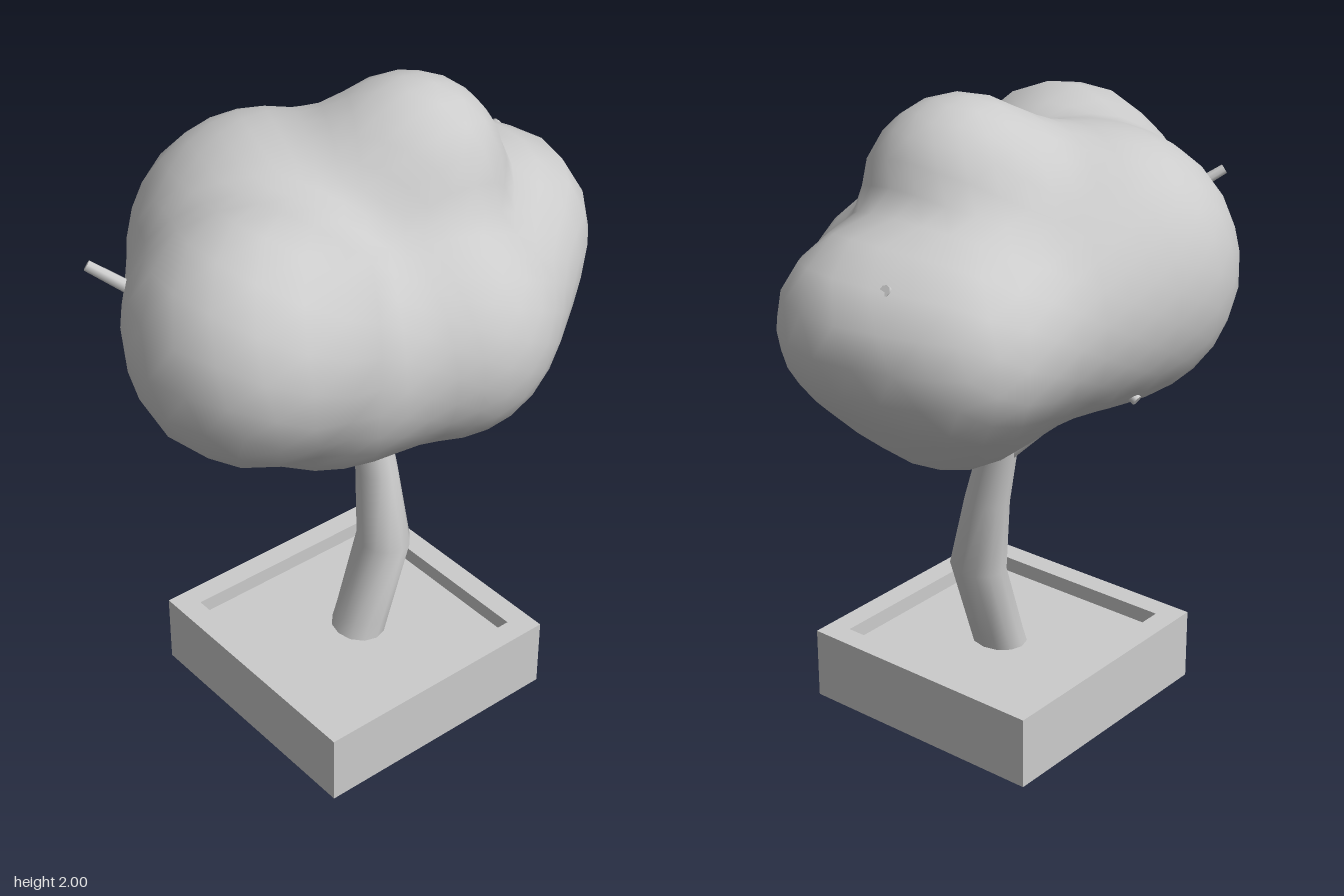
import * as THREE from 'three';
import { mergeVertices } from 'three/addons/utils/BufferGeometryUtils.js';

const material = new THREE.MeshStandardMaterial({ color: 0xcccccc });

function addMesh(parent, name, geometry) {
  const mesh = new THREE.Mesh(geometry, material);
  mesh.name = name;
  parent.add(mesh);
  return mesh;
}

// Weld seams so the surface shades smoothly
function smooth(geometry) {
  geometry.deleteAttribute('normal');
  geometry.deleteAttribute('uv');
  return mergeVertices(geometry, 1e-4);
}

// Square tray: raised rim around a sunken soil bed
function createPlanter() {
  const planter = new THREE.Group();
  planter.name = 'planter';
  planter.position.set(-0.03, 0, 0.088);
  const half = 0.4175, inner = 0.345, height = 0.23, soil = 0.18;
  const square = (path, s) => path.moveTo(-s, -s).lineTo(s, -s).lineTo(s, s).lineTo(-s, s).closePath();
  const shape = square(new THREE.Shape(), half);
  shape.holes.push(square(new THREE.Path(), inner));
  const rim = new THREE.ExtrudeGeometry(shape, { depth: height, bevelEnabled: false });
  rim.rotateX(-Math.PI / 2);
  addMesh(planter, 'planterRim', rim);
  const bed = new THREE.BoxGeometry(inner * 2, soil, inner * 2);
  addMesh(planter, 'soilBed', bed).position.y = soil / 2;
  return planter;
}

// Trunk: level rings of an open cylinder moved onto a bent, tapering line
function createTrunk() {
  const rings = [ // x, y, z, radius
    [-0.02, 0.16, 0.092, 0.08],
    [0.005, 0.23, 0.092, 0.079],
    [0.088, 0.48, 0.092, 0.08],
    [0.093, 0.72, 0.05, 0.063],
    [0.096, 0.97, -0.012, 0.05],
    [0.1, 1.3, -0.08, 0.035],
  ];
  const geometry = smooth(new THREE.CylinderGeometry(1, 1, rings.length - 1, 12, rings.length - 1, true));
  const pos = geometry.attributes.position;
  for (let i = 0; i < pos.count; i++) {
    const row = Math.round(pos.getY(i) + (rings.length - 1) / 2);
    const [x, y, z, r] = rings[row];
    pos.setXYZ(i, x + pos.getX(i) * r, y, z + pos.getZ(i) * r * 1.16);
  }
  geometry.computeVertexNormals();
  return geometry;
}

// Straight tapering limb between two points
function addLimb(parent, name, from, to, r0, r1) {
  const a = new THREE.Vector3(...from), b = new THREE.Vector3(...to);
  const dir = b.clone().sub(a);
  const limb = addMesh(parent, name, new THREE.CylinderGeometry(r1, r0, dir.length(), 8));
  limb.position.copy(a).add(b).multiplyScalar(0.5);
  limb.quaternion.setFromUnitVectors(new THREE.Vector3(0, 1, 0), dir.normalize());
}

// Crown: a sphere shrunk onto a soft blend of round lobes
function createCrown() {
  const lobes = [ // x, y, z, radius
    [-0.08, 1.48, 0.02, 0.34],    // core
    [-0.49, 1.515, 0.225, 0.345], // right side
    [-0.38, 1.47, 0.0, 0.305],    // right back
    [-0.12, 1.47, -0.2, 0.405],   // back
    [0.17, 1.42, -0.22, 0.3],     // back, towards the left
    [0.2, 1.715, 0.045, 0.282],   // top
    [0.13, 1.34, 0.28, 0.33],     // front
    [-0.12, 1.34, 0.2, 0.27],     // front, towards the right
    [0.36, 1.31, 0.18, 0.27],     // front, towards the left
    [0.63, 1.45, -0.01, 0.2],     // left tip
    [0.53, 1.42, 0.1, 0.25],      // left side
    [0.5, 1.41, -0.2, 0.28],      // left back
    [0.34, 1.235, -0.04, 0.275],  // underside left
    [-0.23, 1.315, 0.17, 0.305],  // underside right
  ];
  const blend = 0.14;
  const p = new THREE.Vector3();
  const distance = () => {
    let d = Infinity;
    for (const [x, y, z, r] of lobes) {
      const e = Math.hypot(p.x - x, p.y - y, p.z - z) - r;
      const h = Math.max(blend - Math.abs(d - e), 0) / blend;
      d = Math.min(d, e) - h * h * blend * 0.25;
    }
    return d;
  };
  const geometry = smooth(new THREE.IcosahedronGeometry(1, 7));
  const pos = geometry.attributes.position;
  const centre = new THREE.Vector3(0.02, 1.42, 0.02);
  const dir = new THREE.Vector3();
  for (let i = 0; i < pos.count; i++) {
    dir.fromBufferAttribute(pos, i).normalize();
    let t = 1.3;
    for (let step = 0; step < 60; step++) {
      p.copy(centre).addScaledVector(dir, t);
      t -= distance();
    }
    p.copy(centre).addScaledVector(dir, t);
    pos.setXYZ(i, p.x, p.y, p.z);
  }
  geometry.computeVertexNormals();
  return geometry;
}

export function createModel() {
  const model = new THREE.Group();
  model.name = 'pottedTree';
  model.add(createPlanter());
  addMesh(model, 'trunk', createTrunk());

  // Side branch under the crown, then twigs whose tips poke through it
  addLimb(model, 'branch', [0.085, 0.91, -0.01], [-0.06, 1.13, -0.23], 0.048, 0.034);
  const twigs = [
    [[0.1, 1.25, -0.07], [0.73, 1.62, -0.145]],
    [[-0.5, 1.45, -0.02], [-0.715, 1.62, -0.225]],
    [[0.05, 1.3, -0.25], [0.04, 1.165, -0.46]],
    [[-0.3, 1.3, 0], [-0.52, 1.145, -0.1]],
  ];
  for (const [from, to] of twigs) addLimb(model, 'twig', from, to, 0.024, 0.016);

  addMesh(model, 'crown', createCrown());
  return model;
}
